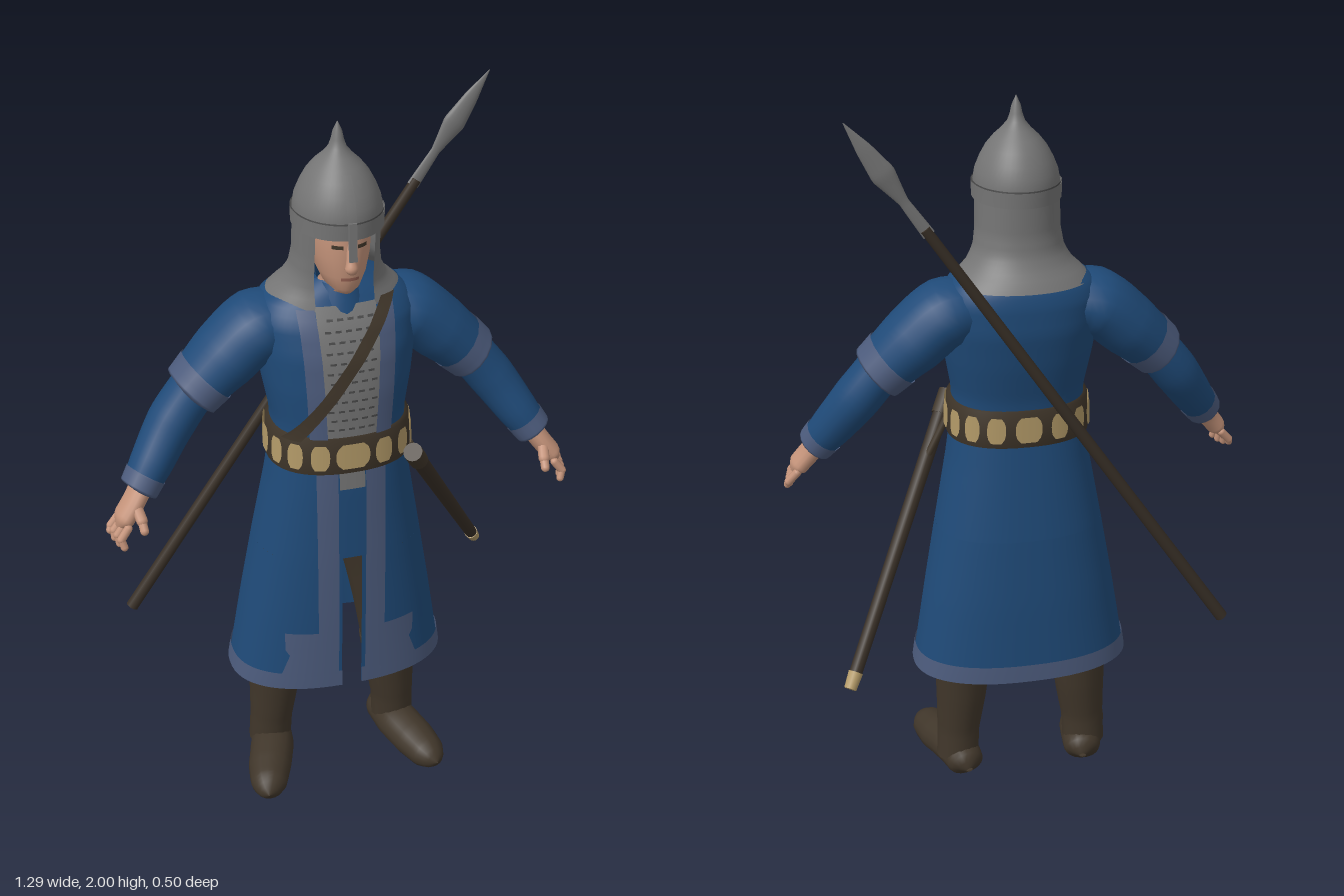
import * as THREE from 'three';
import { mergeVertices } from 'three/addons/utils/BufferGeometryUtils.js';

const TAU = Math.PI * 2;
const mat = (name, color) => new THREE.MeshStandardMaterial({ name, color, side: THREE.DoubleSide });

export function createModel() {
  const model = new THREE.Group();
  const blue = mat('blue cloth', 0x1f4a78), trim = mat('grey blue trim', 0x4c5b7c);
  const steel = mat('steel', 0x757575), darkSteel = mat('dark steel', 0x4a4a4a);
  const leather = mat('dark leather', 0x40362a), wood = mat('dark wood', 0x382f26);
  const brass = mat('pale brass', 0xb39a68), skin = mat('skin', 0xc4937a), lip = mat('lip', 0x9a6455);

  function add(name, geo, material) {
    const mesh = new THREE.Mesh(geo, material);
    mesh.name = name;
    model.add(mesh);
    return mesh;
  }
  function smooth(geo) {
    geo.deleteAttribute('uv');
    geo.deleteAttribute('normal');
    const g = mergeVertices(geo, 1e-5);
    g.computeVertexNormals();
    return g;
  }

  // Profiles: rows of [y, half width, front z, back z]; p squares off the oval
  function section(prof, y, o) {
    const r = prof.rows;
    let i = 0;
    while (i < r.length - 2 && y > r[i + 1][0]) i++;
    const t = THREE.MathUtils.clamp((y - r[i][0]) / (r[i + 1][0] - r[i][0]), 0, 1);
    const [, w, f, b] = r[i].map((v, k) => v + (r[i + 1][k] - v) * t);
    return { y, w: w + o, f: f + o, b: b - o, p: prof.p };
  }
  // Angle around a section at which the front surface reaches x
  const angle = (s, x) => Math.sign(x) * Math.asin(Math.min(1, Math.abs(x) / s.w) ** (1 / s.p));
  const pow = (v, p) => Math.sign(v) * Math.abs(v) ** p;
  const full = () => [0, TAU];
  const between = (a, b) => (s) => [angle(s, a), angle(s, b)];

  // A piece of a profile's surface between two heights and two angles
  function patch(name, prof, material, { y0, y1, n = 12, cols = 12, range = full, o = 0 } = {}) {
    let ys = prof.rows.map((r) => r[0]);
    if (y0 !== undefined) ys = Array.from({ length: n + 1 }, (_, i) => y0 + (y1 - y0) * i / n);
    const pos = [], idx = [];
    ys.forEach((y, i) => {
      const s = section(prof, y, o), [a, b] = range(s, y);
      for (let j = 0; j <= cols; j++) {
        const th = a + (b - a) * j / cols;
        pos.push(s.w * pow(Math.sin(th), s.p), y, (s.f + s.b) / 2 + (s.f - s.b) / 2 * pow(Math.cos(th), s.p));
        if (i && j) {
          const d = i * (cols + 1) + j, c = d - 1, e = d - cols - 1, f = e - 1;
          idx.push(f, e, d, f, d, c);
        }
      }
    });
    const g = new THREE.BufferGeometry();
    g.setAttribute('position', new THREE.Float32BufferAttribute(pos, 3));
    g.setIndex(idx);
    return add(name, smooth(g), material);
  }

  // Tube with varying radius; points are [x, y, z, radius], offsets scaled by sc
  function sweep(name, pts, material, sc = [1, 1, 1], seg = 20) {
    const curve = new THREE.CatmullRomCurve3(pts.map((p) => new THREE.Vector3(p[0], p[1], p[2])));
    const g = new THREE.TubeGeometry(curve, seg, 1, 16), P = g.attributes.position;
    const v = new THREE.Vector3(), scale = new THREE.Vector3(...sc);
    for (let k = 0; k < P.count; k++) {
      const u = Math.floor(k / 17) / seg, t = curve.getUtoTmapping(u) * (pts.length - 1);
      const i = Math.min(pts.length - 2, Math.floor(t));
      const r = THREE.MathUtils.lerp(pts[i][3], pts[i + 1][3], t - i), c = curve.getPointAt(u);
      v.fromBufferAttribute(P, k).sub(c).multiply(scale).multiplyScalar(r).add(c);
      P.setXYZ(k, v.x, Math.max(0, v.y), v.z);
    }
    return add(name, smooth(g), material);
  }
  // Straight piece between two points
  function rod(name, a, b, r0, r1, material, round = false) {
    const A = new THREE.Vector3(...a), B = new THREE.Vector3(...b), len = A.distanceTo(B);
    const g = round ? new THREE.CapsuleGeometry(r0, len, 4, 10) : new THREE.CylinderGeometry(r1, r0, len, 14);
    const m = add(name, g, material);
    m.position.copy(A).add(B).multiplyScalar(0.5);
    m.quaternion.setFromUnitVectors(new THREE.Vector3(0, 1, 0), B.sub(A).normalize());
    return m;
  }

  // Coat, split at the front below the crotch
  const coat = { p: 0.85, rows: [
    [0.37, 0.305, 0.215, -0.15], [0.6, 0.268, 0.215, -0.14], [0.8, 0.233, 0.213, -0.125], [1.0, 0.197, 0.207, -0.1],
    [1.12, 0.18, 0.2, -0.085], [1.2, 0.18, 0.2, -0.09], [1.3, 0.198, 0.2, -0.112], [1.4, 0.212, 0.19, -0.128],
    [1.48, 0.215, 0.165, -0.125], [1.53, 0.185, 0.135, -0.11], [1.56, 0.12, 0.12, -0.08], [1.58, 0.07, 0.1, -0.03]] };
  const slit = (s) => [angle(s, 0.028), TAU - angle(s, 0.028)];
  patch('coatSkirt', coat, blue, { y0: 0.37, y1: 0.8, cols: 64, range: slit });
  patch('coatBody', coat, blue, { y0: 0.8, y1: 1.58, n: 40, cols: 64 });
  patch('coatHem', coat, trim, { y0: 0.368, y1: 0.42, n: 2, cols: 64, range: slit, o: 0.004 });
  patch('collar', { p: 1, rows: [[1.5, 0.085, 0.155, -0.03], [1.54, 0.075, 0.14, -0.02], [1.578, 0.055, 0.125, 0]] }, blue, { cols: 32 });

  // Mail chest panel with rows of links
  patch('mailPanel', coat, steel, { y0: 1.17, y1: 1.53, range: between(-0.08, 0.08), o: 0.004 });
  for (let i = 0; i < 12; i++) {
    for (let k = 0; k < 5; k++) {
      const x = -0.064 + k * 0.027 + (i % 2) * 0.008, y = 1.2 + i * 0.027;
      patch('mailLinks', coat, darkSteel, { y0: y, y1: y + 0.006, n: 1, cols: 2, range: between(x, x + 0.016), o: 0.007 });
    }
  }
  patch('mailHem', coat, steel, { y0: 1.02, y1: 1.08, n: 2, range: between(-0.035, 0.035), o: 0.006 });

  // Trim along the coat front
  for (const s of [-1, 1]) {
    const strip = (a, b) => between(Math.min(a * s, b * s), Math.max(a * s, b * s));
    patch('chestTrim', coat, trim, { y0: 1.17, y1: 1.525, n: 14, cols: 6, o: 0.009,
      range: (c, y) => strip(0.065 + (y - 1.17) * 0.05, 0.11 + (y - 1.17) * 0.05)(c) });
    patch('skirtTrim', coat, trim, { y0: 0.41, y1: 1.08, n: 14, cols: 6, range: strip(0.038, 0.095), o: 0.005 });
    patch('hemPanel', coat, trim, { y0: 0.41, y1: 0.56, n: 8, o: 0.006,
      range: (c, y) => strip(0.085, y < 0.5 ? 0.2 - (y - 0.41) * 0.35 : 0.185)(c) });
  }

  // Belt and plates
  const belt = { p: 0.85, rows: [[1.068, 0.17, 0.19, -0.07], [1.072, 0.195, 0.213, -0.096], [1.176, 0.191, 0.211, -0.097], [1.18, 0.165, 0.19, -0.07]] };
  patch('belt', belt, leather, { cols: 64 });
  for (let i = 0; i < 16; i++) {
    const c = i * TAU / 16, half = i === 0 ? 0.18 : 0.135;
    patch('beltPlate', belt, brass, { y0: 1.088, y1: 1.162, n: 6, cols: 6, o: 0.006, range: (s, y) => {
      const h = half * (1 - 0.45 * (Math.abs(y - 1.125) / 0.037) ** 3);
      return [c - h, c + h];
    } });
  }
  // Diagonal chest strap
  patch('chestStrap', coat, leather, { y0: 1.17, y1: 1.54, n: 20, cols: 4, o: 0.016, range: (s, y) => {
    const x = -0.155 + (y - 1.17) * 0.73;
    return [angle(s, x - 0.021), angle(s, x + 0.021)];
  } });

  // Head
  const head = { p: 0.95, rows: [
    [1.5, 0.05, 0.11, 0], [1.56, 0.05, 0.12, 0], [1.568, 0.03, 0.155, 0], [1.585, 0.046, 0.17, 0], [1.62, 0.062, 0.176, -0.01],
    [1.67, 0.073, 0.18, -0.02], [1.72, 0.077, 0.178, -0.03], [1.78, 0.075, 0.172, -0.03]] };
  patch('head', head, skin, { cols: 32 });
  patch('mouth', head, lip, { y0: 1.614, y1: 1.623, n: 2, range: between(-0.023, 0.023), o: 0.003 });
  sweep('nose', [[0, 1.715, 0.172, 0.008], [0, 1.67, 0.184, 0.013], [0, 1.65, 0.188, 0.018], [0, 1.642, 0.182, 0.004]], skin);
  for (const s of [-1, 1]) {
    patch('eye', head, leather, { y0: 1.702, y1: 1.712, n: 2, cols: 4, o: 0.003, range: between(s * 0.032 - 0.013, s * 0.032 + 0.013) });
  }

  // Pointed helmet, rim, nose guard and mail neck guard
  const helmet = { p: 1, rows: [
    [1.735, 0.112], [1.77, 0.113], [1.8, 0.108], [1.83, 0.096], [1.86, 0.08], [1.885, 0.06], [1.905, 0.039],
    [1.925, 0.023], [1.945, 0.016], [1.965, 0.012], [1.99, 0.001]].map(([y, w]) => [y, w, 0.058 + w * 1.14, 0.058 - w * 1.14]) };
  patch('helmet', helmet, steel, { cols: 48 });
  patch('helmetRim', helmet, steel, { y0: 1.73, y1: 1.77, n: 2, cols: 48, o: 0.005 });
  patch('helmetSeam', helmet, darkSteel, { y0: 1.77, y1: 1.774, n: 1, cols: 48, o: 0.003 });
  patch('helmetRidge', helmet, steel, { y0: 1.76, y1: 1.88, n: 8, cols: 4, range: between(-0.012, 0.012), o: 0.007 });
  const guard = add('noseGuard', new THREE.BoxGeometry(0.02, 0.1, 0.009), steel);
  guard.position.set(0, 1.728, 0.198);
  guard.rotation.x = -0.08;
  const neck = { p: 0.95, rows: [
    [1.518, 0.187, 0.148, -0.128], [1.54, 0.168, 0.143, -0.115], [1.565, 0.14, 0.14, -0.095], [1.6, 0.12, 0.145, -0.077],
    [1.65, 0.112, 0.155, -0.069], [1.75, 0.11, 0.17, -0.068]] };
  patch('mailNeckGuard', neck, steel, { y0: 1.518, y1: 1.75, n: 16, cols: 48, range: (s) => [angle(s, 0.078), TAU - angle(s, 0.078)] });

  // Arms and legs
  for (const s of [-1, 1]) {
    const m = (pts) => pts.map(([x, ...rest]) => [x * s, ...rest]);
    const wide = [1, 1, 1.28];
    sweep('upperSleeve', m([[0.1, 1.45, 0.01, 0.07], [0.2, 1.437, 0.008, 0.091], [0.29, 1.365, 0.012, 0.088], [0.38, 1.282, 0.023, 0.073]]), blue, wide);
    sweep('sleeveBand', m([[0.342, 1.318, 0.018, 0.083], [0.366, 1.295, 0.021, 0.08], [0.387, 1.275, 0.024, 0.077], [0.388, 1.274, 0.024, 0.05]]), trim, wide, 12);
    sweep('lowerSleeve', m([[0.35, 1.32, 0.02, 0.062], [0.44, 1.205, 0.035, 0.064], [0.51, 1.105, 0.075, 0.056], [0.55, 1.05, 0.1, 0.047]]), blue, [1, 1, 1.15]);
    sweep('wristBand', m([[0.526, 1.083, 0.085, 0.055], [0.552, 1.047, 0.1, 0.051], [0.553, 1.046, 0.1, 0.02]]), trim, [1, 1, 1.15], 10);
    sweep('palm', m([[0.54, 1.06, 0.095, 0.034], [0.568, 1.02, 0.112, 0.033], [0.597, 0.982, 0.122, 0.032], [0.612, 0.958, 0.125, 0.012]]), skin, [0.85, 0.85, 1.4]);
    for (let i = 0; i < 4; i++) {
      const z = 0.088 + i * 0.025, bend = [0.012, 0.004, 0, 0.002][i];
      const a = [s * (0.606 - i * 0.004), 0.972, z], b = [s * (0.63 - i * 0.005), 0.945, z + 0.006], c = [s * (0.633 - i * 0.008), 0.922 + bend, z + 0.012];
      rod('finger', a, b, 0.0115, 0.0115, skin, true);
      rod('fingerTip', b, c, 0.0105, 0.0105, skin, true);
    }
    rod('thumb', [s * 0.565, 1.02, 0.14], [s * 0.558, 0.995, 0.172], 0.015, 0.015, skin, true);
    rod('thumbTip', [s * 0.558, 0.995, 0.172], [s * 0.556, 0.975, 0.19], 0.012, 0.012, skin, true);

    sweep('trouserLeg', m([[0.168, 0.34, 0.012, 0.074], [0.135, 0.6, 0.025, 0.09], [0.08, 0.86, 0.04, 0.1]]), leather);
    sweep('bootShaft', m([[0.171, 0.36, 0.01, 0.08], [0.176, 0.26, 0.01, 0.073], [0.186, 0.14, 0.01, 0.062], [0.19, 0.05, 0.005, 0.062]]), leather);
    sweep('bootCuff', m([[0.171, 0.372, 0.01, 0.07], [0.171, 0.365, 0.01, 0.085], [0.172, 0.338, 0.01, 0.083], [0.172, 0.33, 0.01, 0.07]]), leather);
    sweep('bootFoot', m([[0.17, 0.035, -0.075, 0.01], [0.174, 0.045, -0.05, 0.052], [0.195, 0.05, 0.05, 0.064], [0.222, 0.04, 0.13, 0.063],
      [0.243, 0.034, 0.2, 0.052], [0.252, 0.034, 0.235, 0.03], [0.255, 0.034, 0.25, 0.002]]), leather, [1, 0.9, 1], 28);
  }

  // Spear across the back
  rod('spearShaft', [-0.555, 0.5, -0.135], [0.275, 1.72, -0.142], 0.018, 0.014, wood);
  sweep('spearHead', [[0.265, 1.705, -0.142, 0.017], [0.325, 1.793, -0.143, 0.013], [0.35, 1.83, -0.143, 0.022], [0.375, 1.867, -0.143, 0.032],
    [0.42, 1.933, -0.144, 0.02], [0.467, 2.0, -0.145, 0.001]], steel, [1, 1, 0.45], 30);

  // Sword in its sheath on the left hip
  rod('sheath', [0.175, 1.09, 0.205], [0.505, 0.505, -0.214], 0.022, 0.018, wood);
  rod('sheathTip', [0.505, 0.505, -0.214], [0.525, 0.47, -0.239], 0.02, 0.017, brass);
  rod('swordHilt', [0.16, 1.115, 0.225], [0.19, 1.062, 0.187], 0.026, 0.026, leather);
  rod('sheathStrap', [0.185, 1.08, 0.12], [0.255, 0.95, 0.108], 0.01, 0.01, leather);
  return model;
}
